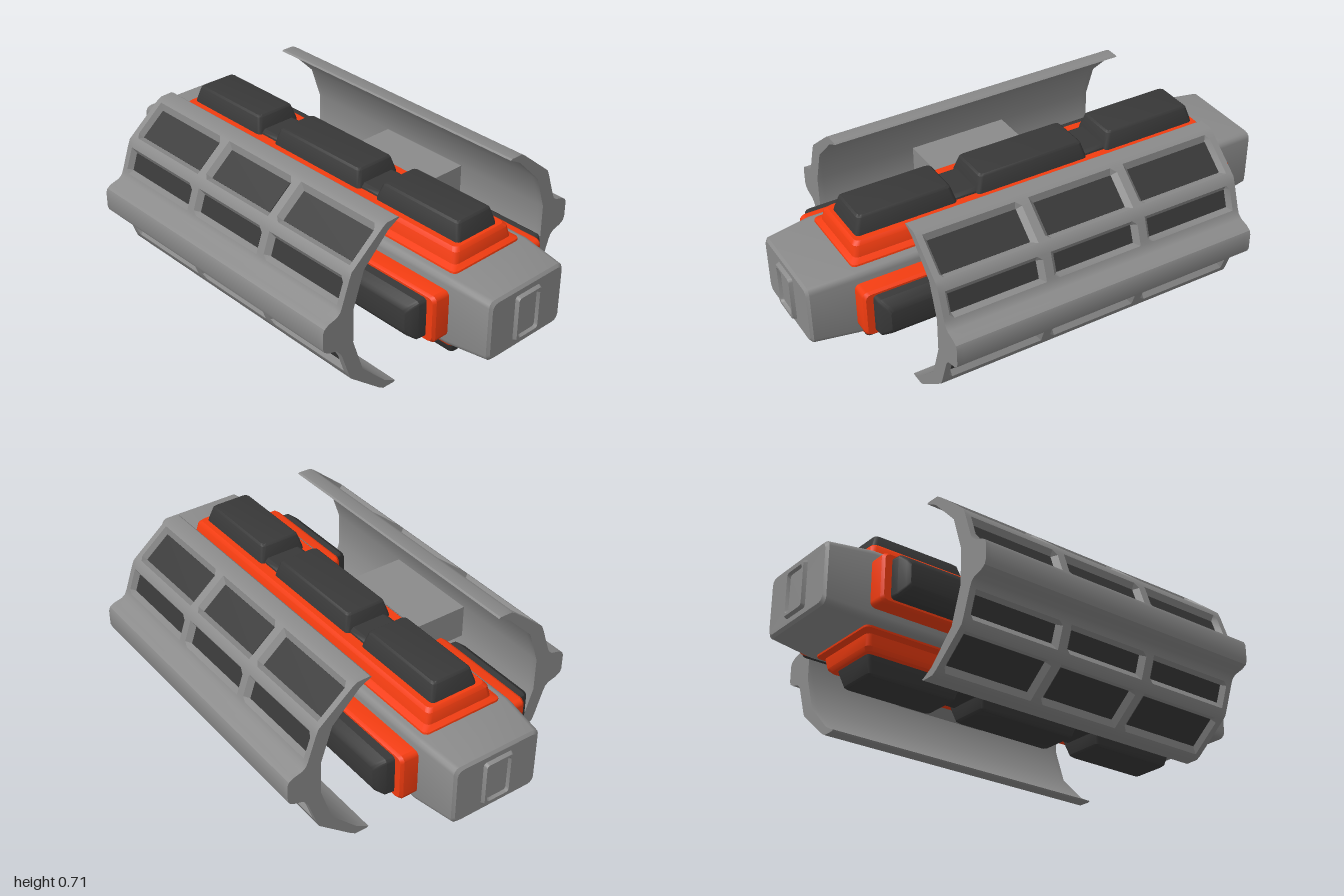
import * as THREE from 'three';
import { toCreasedNormals } from 'three/addons/utils/BufferGeometryUtils.js';

const CY = 0.355; // height of the long axis
const mat = (color) => new THREE.MeshStandardMaterial({ color });

// Skin a row of counter-clockwise [x, y] rings placed at rising z, with end caps
function loft(rings, zs) {
  const n = rings[0].length, pos = [], idx = [];
  rings.forEach((ring, j) => ring.forEach(([x, y]) => pos.push(x, y, zs[j])));
  for (let j = 0; j < rings.length - 1; j++) {
    for (let i = 0; i < n; i++) {
      const a = j * n + i, b = j * n + (i + 1) % n;
      idx.push(a, b, b + n, a, b + n, a + n);
    }
  }
  const cap = (ring) => THREE.ShapeUtils.triangulateShape(ring.map(([x, y]) => new THREE.Vector2(x, y)), []);
  const top = (rings.length - 1) * n;
  cap(rings[0]).forEach(([a, b, c]) => idx.push(c, b, a));
  cap(rings[rings.length - 1]).forEach(([a, b, c]) => idx.push(top + a, top + b, top + c));
  const g = new THREE.BufferGeometry();
  g.setAttribute('position', new THREE.Float32BufferAttribute(pos, 3));
  g.setIndex(idx);
  return toCreasedNormals(g, 0.6);
}

// Rounded rectangle ring
function roundRect(w, h, r) {
  const pts = [];
  [[1, 1], [-1, 1], [-1, -1], [1, -1]].forEach(([sx, sy], k) => {
    for (let i = 0; i <= 3; i++) {
      const a = (k + i / 3) * Math.PI / 2;
      pts.push([sx * (w - r) + r * Math.cos(a), sy * (h - r) + r * Math.sin(a)]);
    }
  });
  return pts;
}

// Stepped block: layers of [halfWidth, halfLength, height]
const stack = (layers, r) => loft(layers.map(([w, h]) => roundRect(w, h, r)), layers.map((l) => l[2]));

export function createModel() {
  const model = new THREE.Group();
  const grey = mat(0x8a8a8a), orange = mat(0xf23c10), dark = mat(0x383838);
  const add = (parent, name, geo, material, x = 0, y = 0, z = 0) => {
    const m = new THREE.Mesh(geo, material);
    m.name = name;
    m.position.set(x, y, z);
    parent.add(m);
    return m;
  };
  const group = (name, rx = 0, ry = 0) => {
    const g = new THREE.Group();
    g.name = name;
    g.position.y = CY;
    g.rotation.set(rx, ry, 0);
    model.add(g);
    return g;
  };

  // Hull with tapered ends
  add(model, 'hull', stack([
    [0.18, 0.115, -0.985], [0.19, 0.125, -0.975], [0.21, 0.14, -0.8], [0.21, 0.14, 0.8],
    [0.19, 0.125, 0.975], [0.18, 0.115, 0.985],
  ], 0.025), grey, 0, CY, 0);

  // Raised hatch frame on each end
  const hatch = stack([[0.066, 0.096, 0.98], [0.06, 0.09, 1], [0.05, 0.08, 1], [0.045, 0.075, 0.988]], 0.012);
  [0, Math.PI].forEach((ry, i) => add(group(i ? 'rearEnd' : 'frontEnd', 0, ry), 'hatchFrame', hatch, grey));

  // Top and bottom: long stepped plinth carrying three linked blocks
  const plinth = stack([
    [0.175, 0.8, 0.12], [0.17, 0.795, 0.147], [0.147, 0.775, 0.158], [0.138, 0.768, 0.2], [0.126, 0.756, 0.213],
  ], 0.02);
  const block = (half) => stack([
    [0.104, half, 0.2], [0.1, half - 0.005, 0.225], [0.086, half - 0.02, 0.276], [0.078, half - 0.028, 0.283],
  ], 0.016);
  const longBlock = block(0.245), shortBlock = block(0.21);
  const link = stack([[0.09, 0.06, 0.2], [0.085, 0.06, 0.22], [0.07, 0.06, 0.23]], 0.01);
  [-1, 1].forEach((s) => {
    const deck = group(s < 0 ? 'topDeck' : 'bottomDeck', s * Math.PI / 2);
    add(deck, 'plinth', plinth, orange);
    add(deck, 'middleBlock', longBlock, dark);
    [-1, 1].forEach((e) => {
      add(deck, 'endBlock', shortBlock, dark, 0, e * 0.535, 0);
      add(deck, 'blockLink', link, dark, 0, e * 0.285, 0);
    });
  });

  // Wing half-profile, from the axis up: [outer point, recessed point]
  const half = [], floors = [];
  [[0.637, 0.033], [0.631, 0.048], [0.612, 0.06], [0.575, 0.07], [0.56, 0.082]].forEach((p) => half.push([p, p]));
  const face = (p, q, depth, ts) => {
    const len = Math.hypot(q[0] - p[0], q[1] - p[1]);
    const n = [(q[1] - p[1]) / len, (p[0] - q[0]) / len];
    const at = (t, d) => [p[0] + (q[0] - p[0]) * t - n[0] * d, p[1] + (q[1] - p[1]) * t - n[1] * d];
    ts.forEach((t, i) => half.push([at(t, 0), at(t, i === 1 || i === 2 ? depth : 0)]));
    const [a, b] = [ts[1], ts[2]];
    floors.push([at(a, depth - 0.003), at(b, depth - 0.003), at(b, depth + 0.003), at(a, depth + 0.003)]);
  };
  face([0.555, 0.09], [0.51, 0.22], 0.022, [0.08, 0.19, 0.7, 0.84]);
  half.push([[0.507, 0.224], [0.507, 0.224]]);
  face([0.505, 0.226], [0.355, 0.35], 0.022, [0.08, 0.17, 0.83, 0.94]);
  const tip = [[0.345, 0.354], [0.292, 0.355], [0.285, 0.35], [0.302, 0.342], [0.338, 0.322], [0.45, 0.21], [0.497, 0.07]];
  tip.forEach((p) => half.push([p, p]));
  const mirror = (pts) => pts.map(([x, y]) => [x, -y]).reverse();
  const ring = (k) => {
    const up = half.map((h) => h[k]);
    // the inner wall of both halves meets at the closing edge
    return [...mirror(up), ...up];
  };
  const full = ring(0), cut = ring(1);
  // Frame rings along z: 0 = full thickness, 1 = recessed window
  const steps = [
    [-0.635, 0], [-0.61, 0], [-0.595, 1], [-0.24, 1], [-0.22, 0], [-0.185, 0], [-0.165, 1],
    [0.165, 1], [0.185, 0], [0.22, 0], [0.24, 1], [0.595, 1], [0.61, 0], [0.635, 0],
  ];
  const wingShell = loft(steps.map((s) => (s[1] ? cut : full)), steps.map((s) => s[0]));
  const windows = [[-0.595, -0.24], [-0.165, 0.165], [0.24, 0.595]];
  const panes = floors.flatMap((f) => windows.map((zs) => loft([f, f], zs)));

  // Side pods: orange mount with a dark bevelled block
  const podMount = stack([[0.24, 0.095, 0.19], [0.24, 0.097, 0.27], [0.232, 0.09, 0.282]], 0.02);
  const podBlock = stack([
    [0.205, 0.082, 0.27], [0.2, 0.082, 0.315], [0.182, 0.062, 0.342], [0.17, 0.045, 0.353],
  ], 0.015);
  const strut = new THREE.BoxGeometry(0.33, 0.14, 0.42);

  [1, -1].forEach((s) => {
    const side = s > 0 ? 'left' : 'right';
    const wing = group(side + 'Wing', 0, s > 0 ? 0 : Math.PI);
    add(wing, 'wingFrame', wingShell, grey);
    add(wing, 'strut', strut, grey, 0.355, 0, 0);
    panes.forEach((p) => {
      add(wing, 'upperPane', p, dark);
      add(wing, 'lowerPane', p, dark).rotation.x = Math.PI;
    });
    const pods = group(side + 'Pods', 0, s * Math.PI / 2);
    [-1, 1].forEach((e) => {
      add(pods, 'podMount', podMount, orange, e * 0.57, 0, 0);
      add(pods, 'podBlock', podBlock, dark, e * 0.57, 0, 0);
    });
  });
  return model;
}
